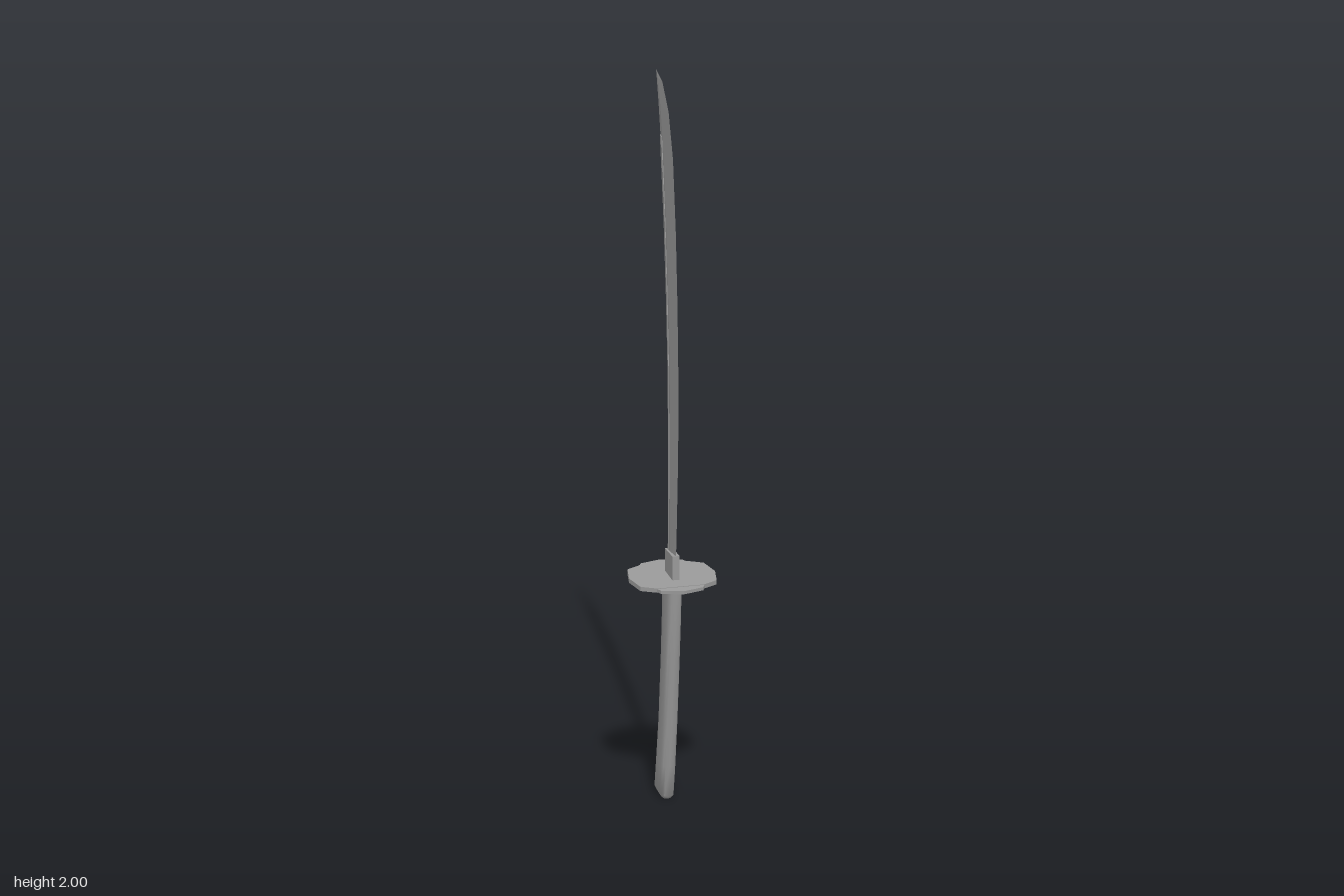
import * as THREE from 'three';
import { toCreasedNormals } from 'three/addons/utils/BufferGeometryUtils.js';

// Skin a stack of rings (bottom to top, each running +z, +x, -z, -x) and cap both ends.
function loft(rings) {
  const pos = [], n = rings[0].length;
  const tri = (...pts) => pts.forEach((p) => pos.push(p.x, p.y, p.z));
  const centre = (ring) => ring.reduce((s, p) => s.add(p), new THREE.Vector3()).divideScalar(n);
  for (let i = 0; i < rings.length - 1; i++) {
    for (let j = 0; j < n; j++) {
      const k = (j + 1) % n, lo = rings[i], hi = rings[i + 1];
      tri(lo[j], lo[k], hi[k]);
      tri(lo[j], hi[k], hi[j]);
    }
  }
  const bottom = rings[0], top = rings[rings.length - 1];
  for (let j = 0; j < n; j++) {
    const k = (j + 1) % n;
    tri(centre(bottom), bottom[k], bottom[j]);
    tri(centre(top), top[j], top[k]);
  }
  const geo = new THREE.BufferGeometry();
  geo.setAttribute('position', new THREE.Float32BufferAttribute(pos, 3));
  geo.computeVertexNormals();
  return geo;
}

// Flat horizontal plate from a list of [x, z] corners
function plate(corners, thickness) {
  const shape = new THREE.Shape(corners.map(([x, z]) => new THREE.Vector2(x, z)));
  const geo = new THREE.ExtrudeGeometry(shape, { depth: thickness, bevelEnabled: false });
  return geo.translate(0, 0, -thickness / 2).rotateX(-Math.PI / 2);
}

export function createModel() {
  const group = new THREE.Group();
  const smooth = new THREE.MeshStandardMaterial({ color: 0x999999 });
  const flat = new THREE.MeshStandardMaterial({ color: 0x999999, flatShading: true });
  const add = (name, geo, mat, parent = group) => {
    const mesh = new THREE.Mesh(geo, mat);
    mesh.name = name;
    parent.add(mesh);
    return mesh;
  };
  const V = (x, y, z) => new THREE.Vector3(x, y, z);

  // Blade: [height, cutting edge z, back z, half thickness]
  const bladeRows = [
    [0.62, 0.052, -0.008, 0.0045], [0.8, 0.067, -0.006, 0.0045],
    [1.0, 0.08, -0.005, 0.0045], [1.22, 0.081, -0.011, 0.0045],
    [1.4, 0.073, -0.026, 0.0045], [1.6, 0.057, -0.048, 0.0045],
    [1.8, 0.029, -0.079, 0.004], [1.92, -0.014, -0.108, 0.003],
    [1.985, -0.075, -0.129, 0.0015], [2.0, -0.133, -0.136, 0.0003],
  ];
  add('blade', loft(bladeRows.map(([y, zf, zb, t]) => {
    const zr = zb + (zf - zb) * 0.25;
    return [V(0, y, zf), V(t, y, zr), V(t * 0.5, y, zb), V(-t * 0.5, y, zb), V(-t, y, zr)];
  })), flat);

  // Raised spine along the back, stepping down short of the tip: [height, back z, depth]
  const spineRows = [
    [0.64, -0.009, 0.012], [1.0, -0.006, 0.011], [1.2, -0.011, 0.014],
    [1.4, -0.027, 0.016], [1.6, -0.049, 0.018], [1.835, -0.086, 0.02],
  ];
  add('bladeSpine', loft(spineRows.map(([y, zb, w]) => [
    V(0.0055, y, zb + w), V(0.004, y, zb), V(-0.004, y, zb), V(-0.0055, y, zb + w),
  ])), flat);

  // Collar between blade and guard
  const collar = add('collar', new THREE.BoxGeometry(0.02, 0.08, 0.073), flat);
  collar.position.set(0, 0.663, 0.022);

  // Guard: wide plate crossed by a thinner plate with front and back lobes, slightly tilted
  const guard = new THREE.Group();
  guard.name = 'guard';
  guard.position.set(0, 0.633, 0.019);
  guard.rotation.x = 0.06;
  group.add(guard);
  const ringOf = (quarter) => {
    const right = [...quarter.map(([x, z]) => [x, -z]), ...quarter.slice().reverse()];
    return [...right, ...right.map(([x, z]) => [-x, -z])];
  };
  add('guardSides', plate(ringOf([[0.065, 0.086], [0.105, 0.064], [0.118, 0.001]]), 0.012), flat, guard);
  add('guardLobes', plate(ringOf([[0.001, 0.117], [0.058, 0.101], [0.065, 0.086], [0.058, 0.02]]), 0.009), flat, guard);

  // Grip: [height, centre z, half depth, half width, end tilt]
  const gripRows = [
    [0.004, -0.057, 0.033, 0.013, 0.12], [0.016, -0.059, 0.043, 0.02, 0.19],
    [0.1, -0.042, 0.04, 0.021, 0.14], [0.22, -0.021, 0.037, 0.021, 0.1],
    [0.4, 0.001, 0.038, 0.021, 0.06], [0.52, 0.013, 0.04, 0.021, 0.03], [0.632, 0.021, 0.041, 0.021, 0],
  ];
  const sides = 16;
  const squarish = (v) => Math.sign(v) * Math.pow(Math.abs(v), 0.6);
  const gripGeo = loft(gripRows.map(([y, zc, d, w, tilt]) =>
    Array.from({ length: sides }, (_, i) => {
      const a = (i / sides) * Math.PI * 2;
      const z = squarish(Math.cos(a)) * d;
      return V(squarish(Math.sin(a)) * w, Math.max(0, y - z * tilt), zc + z);
    })));
  add('grip', toCreasedNormals(gripGeo, 0.8), smooth);

  return group;
}
